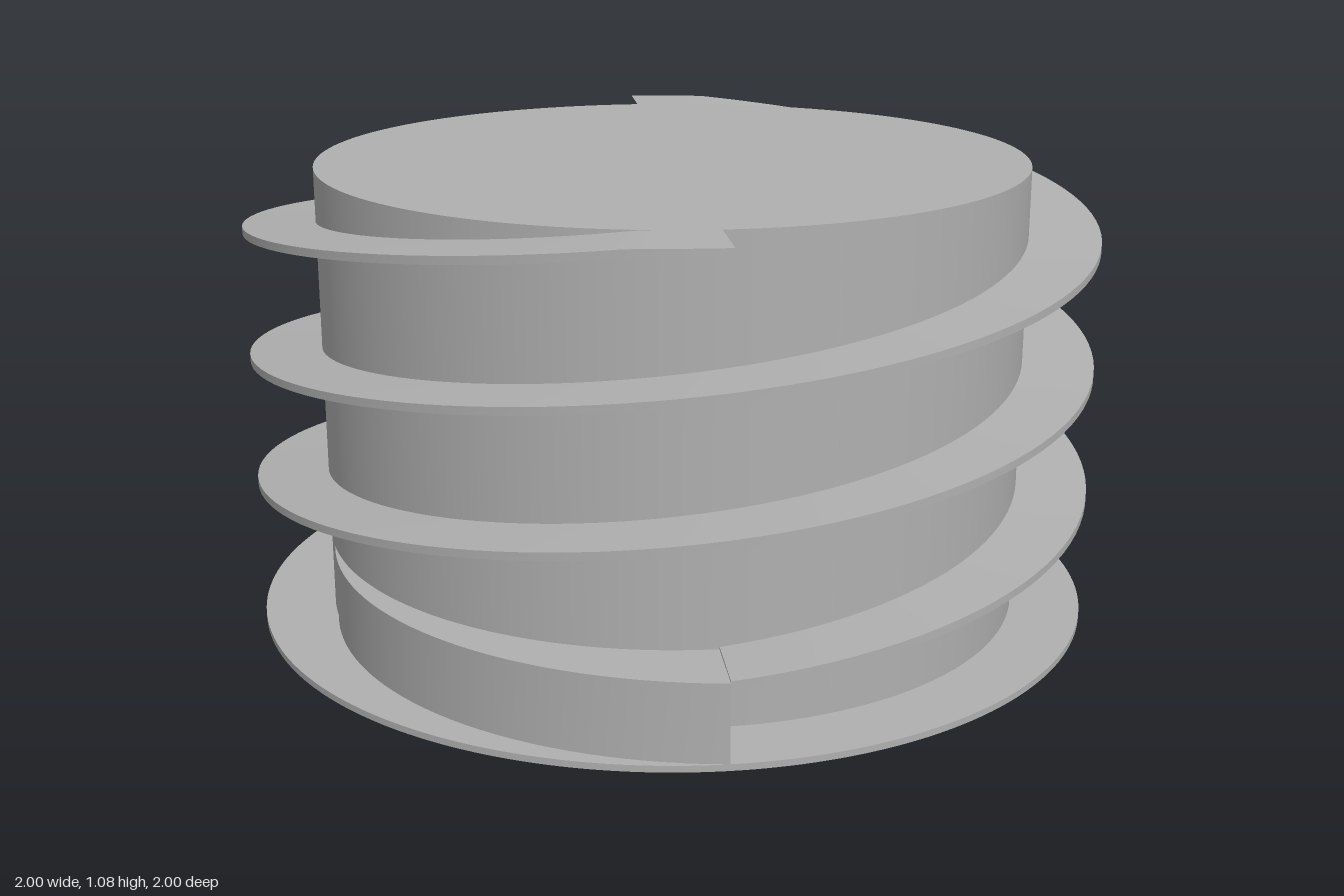
import * as THREE from 'three';
import { toCreasedNormals } from 'three/addons/utils/BufferGeometryUtils.js';

const DEG = Math.PI / 180;
const CORE_R = 0.835, RIM_R = 1, TOP = 1.08, PLATE = 0.015;
const LEAD = 154.5;            // angle of the thread ends, measured from +z towards +x
const POCKET_R = 0.82, POCKET_IN = 0.025, POCKET_START = 268, POCKET_DEPTH = 0.165;

const polar = ([r, a, y]) => [r * Math.sin(a * DEG), y, r * Math.cos(a * DEG)];

// Skins a list of cross-sections, each a list of [radius, angle, height]
function loft(sections, closed) {
  const pos = [];
  const tri = (...pts) => pts.forEach((p) => pos.push(...polar(p)));
  const n = sections[0].length;
  for (let s = 0; s < sections.length - 1; s++) {
    const A = sections[s], B = sections[s + 1];
    for (let i = 0; i < (closed ? n : n - 1); i++) {
      const j = (i + 1) % n;
      tri(A[i], B[i], B[j]);
      tri(A[i], B[j], A[j]);
    }
  }
  if (closed) {
    const A = sections[0], B = sections[sections.length - 1];
    for (let i = 1; i < n - 1; i++) {
      tri(A[0], A[i], A[i + 1]);
      tri(B[0], B[i + 1], B[i]);
    }
  }
  const g = new THREE.BufferGeometry();
  g.setAttribute('position', new THREE.Float32BufferAttribute(pos, 3));
  return toCreasedNormals(g, 30 * DEG);
}

const steps = (n, fn) => Array.from({ length: n + 1 }, (_, i) => fn(i / n));

// Angle of the curved deep end of a pocket at a given radius
const pocketEnd = (r) => LEAD - 27 * (1 - (r / POCKET_R) ** 2);
const pocketY = (a) => POCKET_DEPTH * Math.min(1, (POCKET_START - a) / (POCKET_START - LEAD));
const pocketRadii = steps(16, (t) => POCKET_R + (POCKET_IN - POCKET_R) * t);

export function createModel() {
  const model = new THREE.Group();
  model.name = 'threadedPlug';
  const grey = new THREE.MeshStandardMaterial({ color: 0xb0b0b0, side: THREE.DoubleSide });
  grey.name = 'grey';
  const add = (geometry, name, parent = model) => {
    const m = new THREE.Mesh(geometry, grey);
    m.name = name;
    parent.add(m);
    return m;
  };

  // Core wall and top
  const wall = new THREE.CylinderGeometry(CORE_R, CORE_R, TOP - 0.01, 128, 1, true);
  add(wall.translate(0, (TOP + 0.01) / 2, 0), 'coreWall');
  add(new THREE.CircleGeometry(CORE_R, 128).rotateX(-Math.PI / 2).translate(0, TOP, 0), 'coreTop');

  // Base flange with two pocket openings
  const disc = new THREE.Shape().absarc(0, 0, RIM_R, 0, Math.PI * 2);
  for (const turn of [0, 180]) {
    const at = (r, a) => {
      const [x, , z] = polar([r, a + turn, 0]);
      return new THREE.Vector2(x, z);
    };
    const outline = [
      ...steps(32, (t) => at(POCKET_R, POCKET_START + (LEAD - POCKET_START) * t)),
      ...pocketRadii.slice(1).map((r) => at(r, pocketEnd(r))),
      ...steps(6, (t) => at(POCKET_IN, pocketEnd(POCKET_IN) + (POCKET_START - pocketEnd(POCKET_IN)) * t)).slice(1),
    ];
    disc.holes.push(new THREE.Path(outline));
  }
  const flange = new THREE.ExtrudeGeometry(disc, { depth: PLATE, bevelEnabled: false, curveSegments: 128 });
  flange.rotateX(Math.PI / 2).translate(0, PLATE, 0);
  add(toCreasedNormals(flange, 30 * DEG), 'baseFlange');

  // Helical fin: one and a half turns, cut flush with the top
  const fin = loft(steps(180, (t) => {
    const a = LEAD + 540 * t;
    const low = Math.min(TOP, 0.18 + 0.9 * t), high = Math.min(TOP, low + 0.018);
    return [[0.82, a, low], [RIM_R, a, low], [RIM_R, a, high], [0.82, a, high]];
  }), true);

  // Cam wedge growing out of the core up to the start of the fin
  const wedge = loft(steps(32, (t) => {
    const a = 75 + (LEAD - 75) * t, r = CORE_R + (RIM_R - CORE_R) * t;
    return [[0.825, a, 0.01], [r, a, 0.01], [r, a, 0.193], [0.825, a, 0.193]];
  }), true);

  // Pocket under the base: sloping roof with side walls, and a curved end wall
  const roof = loft(steps(32, (t) => {
    const column = pocketRadii.map((r) => {
      const a = POCKET_START + (pocketEnd(r) - POCKET_START) * t;
      return [r, a, pocketY(a)];
    });
    const first = column[0], last = column[column.length - 1];
    return [[first[0], first[1], 0], ...column, [last[0], last[1], 0]];
  }), false);
  const endWall = loft(pocketRadii.map((r) => {
    const a = pocketEnd(r);
    return [[r, a, 0], [r, a, pocketY(a)]];
  }), false);

  // Both starts of the thread, half a turn apart
  for (let k = 0; k < 2; k++) {
    const start = new THREE.Group();
    start.name = k ? 'secondStart' : 'firstStart';
    start.rotation.y = k * Math.PI;
    add(fin, 'threadFin', start);
    add(wedge, 'camWedge', start);
    add(roof, 'pocketRoof', start);
    add(endWall, 'pocketEndWall', start);
    model.add(start);
  }
  return model;
}
